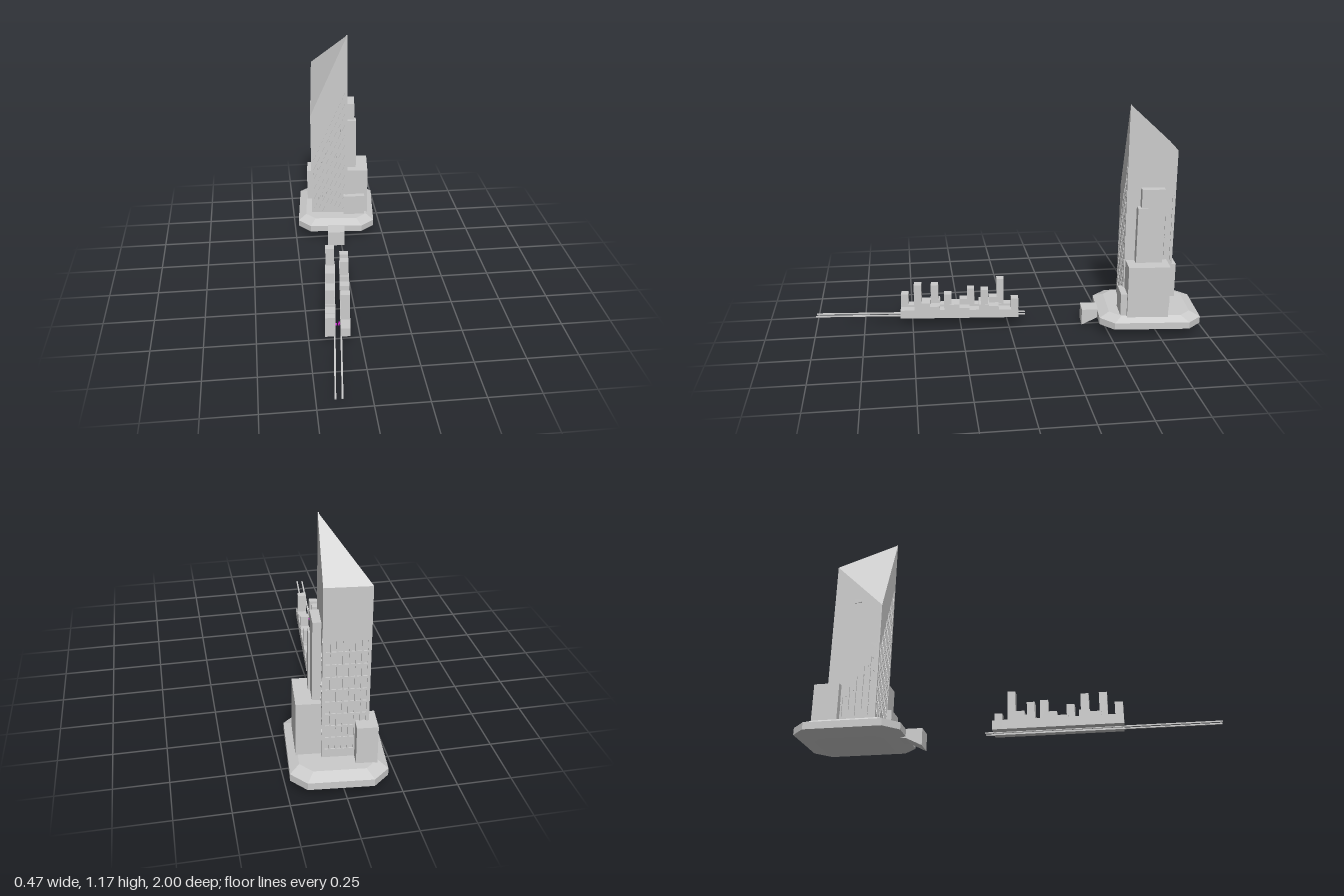
import * as THREE from 'three';

const grey = new THREE.MeshStandardMaterial({ color: 0xcccccc, flatShading: true });
const magenta = new THREE.MeshStandardMaterial({ color: 0xc020c0 });

function add(parent, name, geometry, material = grey) {
  const mesh = new THREE.Mesh(geometry, material);
  mesh.name = name;
  parent.add(mesh);
  return mesh;
}

// Box given by its limits on each axis
function box(parent, name, x0, x1, y0, y1, z0, z1, material) {
  const mesh = add(parent, name, new THREE.BoxGeometry(x1 - x0, y1 - y0, z1 - z0), material);
  mesh.position.set((x0 + x1) / 2, (y0 + y1) / 2, (z0 + z1) / 2);
  return mesh;
}

// Closed solid through rings of [x, y, z], each counter-clockwise seen from above
function loft(rings) {
  const n = rings[0].length, pos = [];
  const tri = (a, b, c) => pos.push(...a, ...b, ...c);
  for (let r = 0; r + 1 < rings.length; r++) {
    for (let i = 0; i < n; i++) {
      const j = (i + 1) % n, lo = rings[r], hi = rings[r + 1];
      tri(lo[i], lo[j], hi[j]);
      tri(lo[i], hi[j], hi[i]);
    }
  }
  const bottom = rings[0], top = rings[rings.length - 1];
  for (let i = 1; i + 1 < n; i++) {
    tri(bottom[0], bottom[i + 1], bottom[i]);
    tri(top[0], top[i], top[i + 1]);
  }
  const g = new THREE.BufferGeometry();
  g.setAttribute('position', new THREE.Float32BufferAttribute(pos, 3));
  g.computeVertexNormals();
  return g;
}

function polygon(Type, points) {
  return new Type().setFromPoints(points.map(([x, y]) => new THREE.Vector2(x, y)));
}

// Wall plate with a slanted top, rows of window openings and an optional upper panel
const SKIN = 0.006, FLOOR = 0.1, CROWN = 0.25;
function facade(parent, name, a, b, columns, panel) {
  const dx = b[0] - a[0], dz = b[2] - a[2], w = Math.hypot(dx, dz);
  const top = u => a[1] + (b[1] - a[1]) * u / w;
  const wall = polygon(THREE.Shape, [[0, FLOOR], [w, FLOOR], [w, top(w)], [0, top(0)]]);
  const opening = (u0, u1, d0, d1) => wall.holes.push(polygon(THREE.Path, [
    [u0, top(u0) - d1], [u0, top(u0) - d0], [u1, top(u1) - d0], [u1, top(u1) - d1]]));
  if (panel) opening(0.018, w - 0.018, 0.025, CROWN - 0.025);
  const margin = 0.01, pitch = (w - 2 * margin) / columns, rowPitch = 0.062;
  for (let c = 0; c < columns; c++) {
    const u0 = margin + c * pitch + 0.004, u1 = u0 + pitch - 0.008;
    for (let d = CROWN; Math.min(top(u0), top(u1)) - d - rowPitch > FLOOR; d += rowPitch) {
      opening(u0, u1, d, d + rowPitch - 0.01);
    }
  }
  const g = new THREE.ExtrudeGeometry(wall, { depth: SKIN, bevelEnabled: false });
  g.translate(0, 0, -SKIN);
  const mesh = add(parent, name, g);
  mesh.position.set(a[0], 0, a[2]);
  mesh.rotation.y = Math.atan2(-dz, dx);
}

function makeBuilding() {
  const building = new THREE.Group();
  building.name = 'building';

  // Faceted octagonal base
  const outline = [[-0.146, 0.26], [0.146, 0.26], [0.217, 0.19], [0.217, -0.19],
    [0.146, -0.26], [-0.146, -0.26], [-0.217, -0.19], [-0.217, 0.19]];
  const ring = (y, s) => outline.map(([x, z]) => [x * s, y, z * s]);
  add(building, 'base', loft([ring(0.025, 0.66), ring(0.048, 1), ring(0.083, 1), ring(0.105, 0.8)]));

  // Entrance ramp in front of the base
  const ramp = polygon(THREE.Shape, [[0.23, 0.04], [0.26, 0.04], [0.34, 0], [0.34, 0.085], [0.23, 0.085]]);
  const rampGeometry = new THREE.ExtrudeGeometry(ramp, { depth: 0.094, bevelEnabled: false });
  rampGeometry.rotateY(-Math.PI / 2).translate(0.047, 0, 0);
  add(building, 'entranceRamp', rampGeometry);

  // Tower core and its folded, pointed roof
  const FL = [-0.14, 0.71, 0.132], FR = [0.068, 1.175, 0.132];
  const BR = [0.071, 0.945, -0.114], BL = [-0.136, 0.945, -0.114];
  const core = [FL, FR, BR, BL].map(([x, y, z]) =>
    [x - Math.sign(x) * SKIN, y - 0.02, z - Math.sign(z) * SKIN]);
  // starting the ring at the apex keeps the fold running to the opposite corner
  const coreTop = [core[1], core[2], core[3], core[0]];
  add(building, 'towerCore', loft([coreTop.map(([x, , z]) => [x, 0.09, z]), coreTop]));
  const roof = new THREE.BufferGeometry();
  roof.setAttribute('position', new THREE.Float32BufferAttribute(
    [FR, BL, FL, FR, BR, BL].flat(), 3));
  roof.computeVertexNormals();
  const roofMaterial = grey.clone();
  roofMaterial.side = THREE.DoubleSide;
  add(building, 'roof', roof, roofMaterial);

  // Facades
  facade(building, 'frontFacade', FL, FR, 8, false);
  facade(building, 'leftFacade', FR, BR, 7, true);
  facade(building, 'backFacade', BR, BL, 7, false);
  facade(building, 'rightFacade', BL, FL, 7, true);
  box(building, 'panelVent', -0.142, -0.13, 0.73, 0.75, -0.01, 0.025);

  // Annex blocks around the tower
  box(building, 'sideAnnex', 0.04, 0.183, 0.09, 0.37, -0.085, 0.125);
  box(building, 'frontAnnex', 0.045, 0.165, 0.09, 0.22, 0.1, 0.157);
  box(building, 'tallShaft', 0.06, 0.108, 0.36, 0.755, -0.055, 0.062);
  box(building, 'shortShaft', 0.06, 0.117, 0.36, 0.66, 0.03, 0.08);
  box(building, 'backAnnex', -0.17, -0.075, 0.09, 0.29, -0.17, -0.045);
  return building;
}

// One row of stepped blocks with four towers
function makeBlockRow(name) {
  const row = new THREE.Group();
  row.name = name;
  const steps = [0.1, 0.1, 0.14, 0.12, 0.1, 0.13, 0.11, 0.1, 0.13, 0.12, 0.1, 0.1];
  const size = 0.613 / steps.length;
  steps.forEach((h, i) => {
    const z = 0.3065 - i * size;
    box(row, 'wallStep', -0.024, 0.024, 0.055, h, z - size, z);
  });
  const towers = [[0.215, 0.24], [0.06, 0.188], [-0.13, 0.21], [-0.287, 0.16]];
  for (const [z, h] of towers) box(row, 'blockTower', -0.023, 0.023, 0.06, h, z - 0.019, z + 0.019);
  return row;
}

export function createModel() {
  const model = new THREE.Group();
  model.name = 'towerAndTrack';
  const site = new THREE.Group();
  site.name = 'site';
  site.rotation.y = -0.09;
  model.add(site);

  const building = makeBuilding();
  building.position.set(-0.065, 0, -0.722);
  site.add(building);

  // The two rows are the same shape turned end to end
  const leftRow = makeBlockRow('leftBlockRow');
  leftRow.position.set(-0.028, 0, 0.259);
  const rightRow = makeBlockRow('rightBlockRow');
  rightRow.position.set(-0.101, 0, 0.261);
  rightRow.rotation.y = Math.PI;
  site.add(leftRow, rightRow);

  // Twin rails running between the rows
  for (const x of [-0.079, -0.048]) box(site, 'rail', x - 0.004, x + 0.004, 0.051, 0.057, -0.085, 1.01);

  // Tiny coloured markers above the rails
  for (const [x, y, z] of [[-0.072, 0.07, 0.49], [-0.06, 0.078, 0.5], [-0.056, 0.066, 0.47]]) {
    box(site, 'marker', x - 0.004, x + 0.004, y - 0.003, y + 0.003, z - 0.006, z + 0.006, magenta);
  }
  return model;
}
